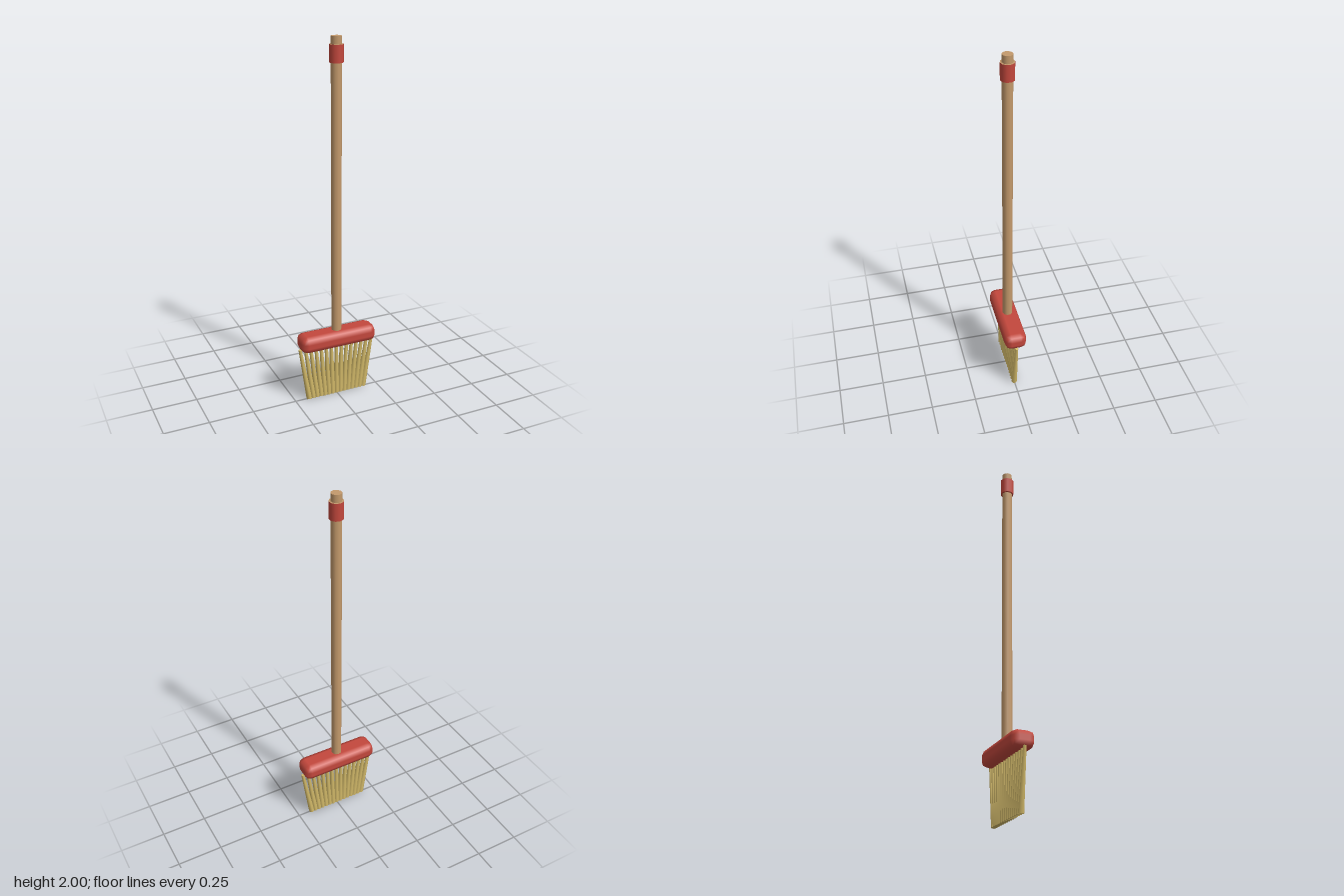
import * as THREE from 'three';
import { RoundedBoxGeometry } from 'three/addons/geometries/RoundedBoxGeometry.js';

const material = (name, color) => {
  const m = new THREE.MeshStandardMaterial({ color });
  m.name = name;
  return m;
};

export function createModel() {
  const wood = material('wood', 0xc49a6c);
  const red = material('red paint', 0xc4483d);
  const straw = material('straw', 0xd2b969);

  const broom = new THREE.Group();
  broom.name = 'broom';

  const add = (name, geometry, mat, y, parent = broom) => {
    const mesh = new THREE.Mesh(geometry, mat);
    mesh.name = name;
    mesh.position.y = y;
    parent.add(mesh);
    return mesh;
  };

  // Long handle, sunk into the head
  add('handle', new THREE.CylinderGeometry(0.028, 0.028, 1.64, 10), wood, 1.18);

  // Grip band near the top: painted side and underside, bare wood on top
  add('gripBand', new THREE.CylinderGeometry(0.037, 0.037, 0.09, 10), [red, wood, red], 1.915);

  // Chunky head with bevelled edges
  add('head', new RoundedBoxGeometry(0.446, 0.095, 0.125, 1, 0.036), red, 0.3525);

  // Row of bristles, closer together at the floor than at the head
  const bristles = new THREE.Group();
  bristles.name = 'bristles';
  broom.add(bristles);
  const count = 15, topY = 0.315;
  for (let i = 0; i < count; i++) {
    const t = (i / (count - 1)) * 2 - 1;
    const topX = 0.219 * t, bottomX = 0.168 * t;
    const length = Math.hypot(topX - bottomX, topY);
    const geometry = new THREE.CylinderGeometry(0.009, 0.016, length, 6);
    const bristle = add('bristle', geometry, straw, topY / 2, bristles);
    bristle.position.x = (topX + bottomX) / 2;
    bristle.rotation.z = -Math.atan2(topX - bottomX, topY);
  }

  return broom;
}
